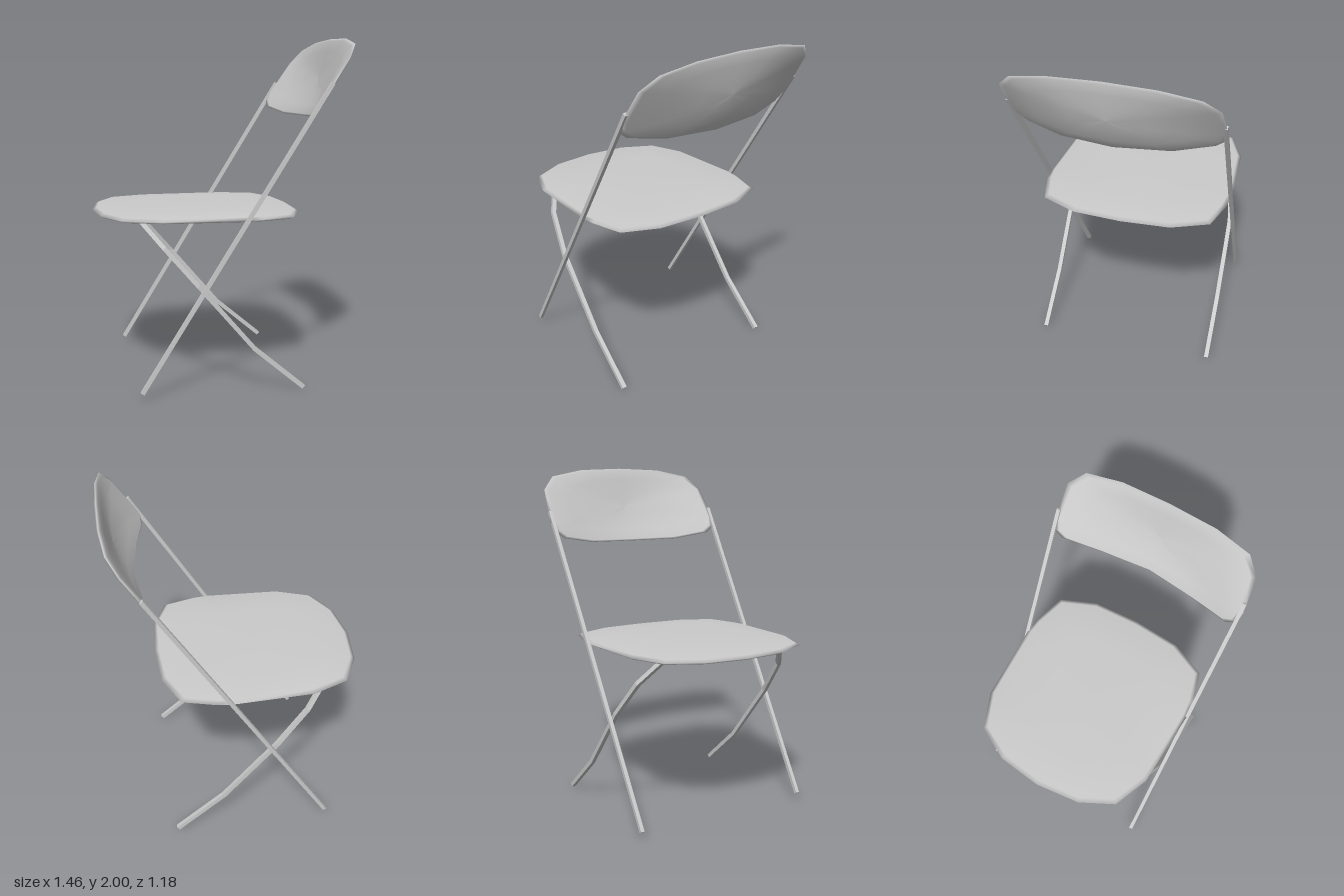
import * as THREE from 'three';

const material = new THREE.MeshStandardMaterial({ color: 0xcccccc });
const flatMaterial = new THREE.MeshStandardMaterial({ color: 0xcccccc, flatShading: true });

// Skin a list of closed rings (each counterclockwise about the direction of advance)
function loft(rings) {
  const n = rings[0].length, position = [], index = [];
  rings.forEach(ring => ring.forEach(p => position.push(p.x, p.y, p.z)));
  for (let i = 0; i < rings.length - 1; i++) {
    for (let j = 0; j < n; j++) {
      const a = i * n + j, b = i * n + (j + 1) % n;
      index.push(a, b, b + n, a, b + n, a + n);
    }
  }
  const geometry = new THREE.BufferGeometry();
  geometry.setAttribute('position', new THREE.Float32BufferAttribute(position, 3));
  geometry.setIndex(index);
  geometry.computeVertexNormals();
  return geometry;
}

// Complete a half outline [a, z] whose first and last points lie on z = 0
const mirrorOutline = half =>
  [...half, ...half.slice(1, -1).reverse().map(([a, z]) => [a, -z])];

// Square bar following a bent path
function bar(points, width) {
  const path = points.map(p => new THREE.Vector3(...p));
  const zAxis = new THREE.Vector3(0, 0, 1), h = width / 2;
  const rings = path.map((p, i) => {
    const t = new THREE.Vector3();
    if (i > 0) t.add(p.clone().sub(path[i - 1]).normalize());
    if (i < path.length - 1) t.add(path[i + 1].clone().sub(p).normalize());
    t.normalize();
    const u = t.clone().cross(zAxis).normalize(), v = t.clone().cross(u);
    return [[h, h], [-h, h], [-h, -h], [h, -h]].map(([a, b]) =>
      p.clone().addScaledVector(u, a).addScaledVector(v, b));
  });
  const cap = p => Array(4).fill(p);
  const geometry = loft([cap(path[0]), ...rings, cap(path[path.length - 1])]).toNonIndexed();
  geometry.computeVertexNormals();
  return geometry;
}

// Thin cushion-shaped seat, sharp at the rim
function seatGeometry() {
  const outline = mirrorOutline([
    [-0.73, 0], [-0.70, 0.26], [-0.60, 0.455], [-0.39, 0.54], [0.08, 0.56],
    [0.17, 0.55], [0.36, 0.495], [0.45, 0.285], [0.467, 0]]);
  const cx = -0.13;
  const layers = [[0, 0.967], [0.6, 0.97], [0.96, 0.982], [1, 0.995],
    [0.96, 1.009], [0.6, 1.019], [0, 1.021]];
  return loft(layers.map(([s, y]) =>
    outline.map(([x, z]) => new THREE.Vector3(cx + (x - cx) * s, y, z * s))));
}

// Leaning backrest, its lower middle bowed backwards
function backrestGeometry() {
  const outline = mirrorOutline([
    [2.0, 0], [1.99, 0.28], [1.95, 0.49], [1.87, 0.572], [1.68, 0.592],
    [1.62, 0.575], [1.58, 0.52], [1.545, 0.31], [1.54, 0]]);
  const cy = 1.76;
  const surfaceX = (y, z) => {
    const drop = Math.max(0, (2 - y) / 0.46);
    const bow = Math.max(0, 1 - (z / 0.57) ** 2);
    return 0.725 - (2 - y) * 0.66 + 0.138 * Math.sin(drop * Math.PI / 2) * bow;
  };
  const layers = [[0, -0.014], [0.35, -0.014], [0.7, -0.013], [0.95, -0.011], [1, 0],
    [0.95, 0.011], [0.7, 0.013], [0.35, 0.014], [0, 0.014]];
  return loft(layers.map(([s, offset]) => outline.map(([oy, oz]) => {
    const y = cy + (oy - cy) * s, z = oz * s;
    return new THREE.Vector3(surfaceX(y, z) + offset, y, z);
  })));
}

export function createModel() {
  const model = new THREE.Group();
  model.name = 'foldingChair';
  const add = (name, geometry, mat) => {
    const mesh = new THREE.Mesh(geometry, mat);
    mesh.name = name;
    model.add(mesh);
  };

  add('seat', seatGeometry(), material);
  add('backrest', backrestGeometry(), material);

  for (const [label, side] of [['Left', 1], ['Right', -1]]) {
    // Straight rail from the floor up to the backrest
    add('backRail' + label, bar([
      [-0.507, 0.045, side * 0.544], [0.07, 0.973, side * 0.562], [0.545, 1.737, side * 0.578]],
      0.022), flatMaterial);
    // Bent leg that crosses the rail and curls in under the seat
    add('bentLeg' + label, bar([
      [-0.49, 0.982, side * 0.395], [-0.37, 0.84, side * 0.487], [-0.19, 0.632, side * 0.527],
      [0.13, 0.257, side * 0.527], [0.418, 0.014, side * 0.527]],
      0.025), flatMaterial);
  }
  return model;
}
